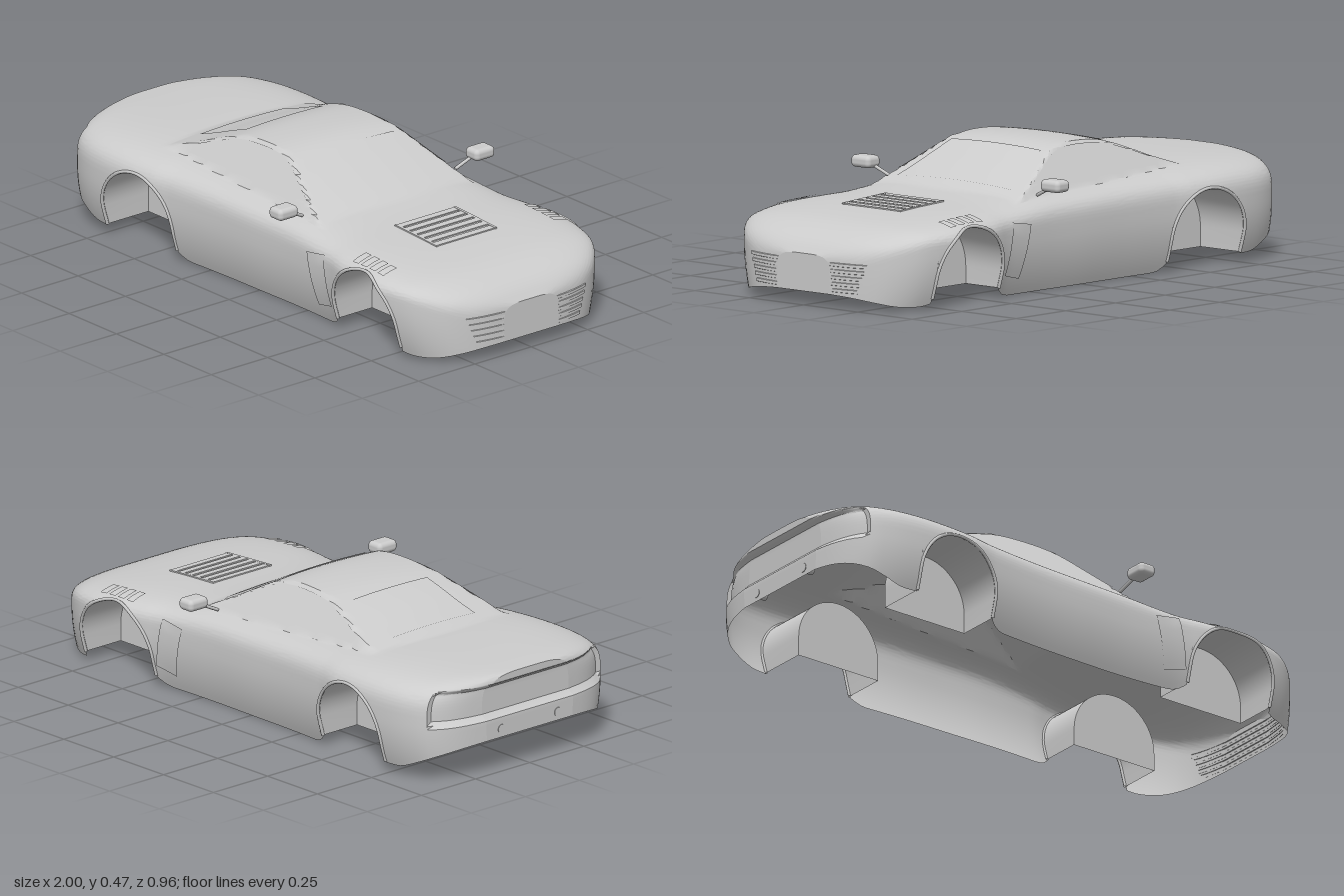
import * as THREE from 'three';
import { toCreasedNormals } from 'three/addons/utils/BufferGeometryUtils.js';
import { RoundedBoxGeometry } from 'three/addons/geometries/RoundedBoxGeometry.js';

// Smooth curve through sorted [x, value] keys
function keys(k) {
  const slope = i => {
    const a = k[Math.max(i - 1, 0)], b = k[Math.min(i + 1, k.length - 1)];
    return (b[1] - a[1]) / (b[0] - a[0]);
  };
  return x => {
    if (x <= k[0][0]) return k[0][1];
    if (x >= k[k.length - 1][0]) return k[k.length - 1][1];
    let i = 0;
    while (x > k[i + 1][0]) i++;
    const h = k[i + 1][0] - k[i][0], t = (x - k[i][0]) / h, t2 = t * t, t3 = t2 * t;
    return k[i][1] * (2 * t3 - 3 * t2 + 1) + slope(i) * h * (t3 - 2 * t2 + t)
      + k[i + 1][1] * (3 * t2 - 2 * t3) + slope(i + 1) * h * (t3 - t2);
  };
}

// Plan half-width, deck height, roof line and lower edge along the car
const halfWidth = keys([[-1, .2], [-.99, .265], [-.97, .33], [-.94, .38], [-.9, .415], [-.8, .445], [-.65, .454], [-.5, .445], [-.4, .427],
  [-.2, .411], [0, .405], [.2, .402], [.4, .412], [.5, .432], [.65, .45], [.75, .44], [.85, .405], [.93, .335], [.97, .265], [.99, .195], [1, .12]]);
const deck = keys([[-1, .345], [-.9, .352], [-.7, .356], [-.5, .352], [-.3, .345], [0, .335], [.2, .328], [.4, .308],
  [.6, .298], [.75, .285], [.85, .268], [.93, .238], [.97, .21], [1, .175]]);
const roof = keys([[-.65, .33], [-.55, .362], [-.45, .393], [-.35, .43], [-.25, .46], [-.15, .47], [-.05, .468],
  [.02, .452], [.1, .412], [.2, .362], [.28, .325], [.35, .29]]);
const skirt = keys([[-1, .12], [-.95, .095], [-.85, .05], [-.8, .032], [-.74, .03], [-.4, .03], [-.37, .008], [-.33, 0],
  [.38, 0], [.43, .015], [.46, .04], [.78, .02], [.82, .01], [.9, .012], [.96, .028], [1, .045]]);
const arches = [{ x: -.565, y: .105, r: .17 }, { x: .618, y: .095, r: .172 }];
const waist = x => Math.min(.2, deck(x) - .075);

function lowerEdge(x) {
  for (const a of arches) {
    const d = Math.abs(x - a.x);
    if (d <= a.r + 1e-6) return a.y + Math.sqrt(Math.max(0, a.r * a.r - d * d));
  }
  return skirt(x);
}
// Height of the upper surface, with the cabin rising out of the deck
function topY(x, z) {
  z = Math.abs(z);
  const s = Math.min(1, z / halfWidth(x)), w = waist(x);
  const y = w + (deck(x) - w) * Math.pow(1 - s ** 4, .25);
  if (x < -.65 || x > .35) return y;
  return Math.max(y, Math.min(roof(x) - .15 * z * z, .335 + (.315 - z) * 1.45));
}
// Half-width of the flank at a height
function sideZ(x, y) {
  const w = waist(x);
  if (y < w) return halfWidth(x) * (1 - .1 * ((w - y) / .2) ** 2);
  return halfWidth(x) * Math.pow(1 - Math.min(1, (y - w) / (deck(x) - w)) ** 4, .25);
}
// Nose outline: x for a given z
function noseX(z) {
  let a = .8, b = 1;
  for (let i = 0; i < 30; i++) {
    const m = (a + b) / 2;
    if (halfWidth(m) > Math.abs(z)) a = m; else b = m;
  }
  return a;
}

export function createModel() {
  const car = new THREE.Group();
  car.name = 'carBody';
  const paint = new THREE.MeshStandardMaterial({ color: 0xcccccc, side: THREE.DoubleSide });
  paint.name = 'lightGrey';

  function add(name, geo) {
    const m = new THREE.Mesh(geo, paint);
    m.name = name;
    car.add(m);
    return m;
  }
  // Grid surface from a rule on (u, v) in 0..1
  function surface(name, nu, nv, f) {
    const pos = [], idx = [], row = nv + 1;
    for (let i = 0; i <= nu; i++) for (let j = 0; j <= nv; j++) pos.push(...f(i / nu, j / nv));
    for (let i = 0; i < nu; i++) for (let j = 0; j < nv; j++) {
      const a = i * row + j;
      idx.push(a, a + 1, a + row, a + 1, a + row + 1, a + row);
    }
    const g = new THREE.BufferGeometry();
    g.setAttribute('position', new THREE.Float32BufferAttribute(pos, 3));
    g.setIndex(idx);
    return add(name, toCreasedNormals(g, .5));
  }
  const lerp = THREE.MathUtils.lerp;

  // Body stations: even steps, with extras at the ends and wheel arches
  const xs = [];
  for (let i = -47; i <= 47; i++) xs.push(i * .02);
  for (const e of [.955, .97, .98, .988, .994, .998, 1]) xs.push(e, -e);
  for (const a of arches) {
    for (let k = 0; k <= 28; k++) xs.push(a.x + a.r * Math.cos(k * Math.PI / 28));
    xs.push(a.x + a.r + .001, a.x - a.r - .001);
  }
  xs.sort((a, b) => a - b);
  const N = 44, L = 10, M = N + L;
  function section(x, k) {
    const w = waist(x), yb = lowerEdge(x);
    let y, z;
    if (k <= N) {
      z = halfWidth(x) * (1 - ((N - k) / N) ** 3);
      y = topY(x, z);
      if (y < yb) { y = yb; z = sideZ(x, y); }
    } else {
      y = yb < w ? lerp(w, yb, (k - N) / L) : yb;
      z = sideZ(x, y);
    }
    // Recessed tail panel under the lip
    const inset = x < -.94 ? .022 * THREE.MathUtils.smoothstep(y, .19, .21) * (1 - THREE.MathUtils.smoothstep(y, .3, .32)) : 0;
    return [x + inset, y, z];
  }
  surface('bodyShell', xs.length - 1, 2 * M, (u, v) => {
    const j = Math.round(v * 2 * M) - M;
    const p = section(xs[Math.round(u * (xs.length - 1))], Math.abs(j));
    return [p[0], p[1], j < 0 ? -p[2] : p[2]];
  });
  // Flat end faces
  for (const [name, x] of [['tailPanel', -1], ['nosePanel', 1]]) {
    surface(name, M, 4, (u, v) => {
      const p = section(x, Math.round(u * M));
      return [p[0], p[1], p[2] * (v * 2 - 1)];
    });
  }

  // Windows lie just above the shell
  surface('windscreen', 14, 14, (u, v) => {
    const x = lerp(.03, .24, u), z = lerp(.205, .265, u) * (v * 2 - 1);
    return [x, topY(x, z) + .003, z];
  });
  surface('rearWindow', 12, 14, (u, v) => {
    const x = lerp(-.52, -.3, u), z = lerp(.19, .17, u) * (v * 2 - 1);
    return [x, topY(x, z) + .003, z];
  });

  // Bonnet grille with cross slats
  const tilt = Math.atan2(topY(.66, 0) - topY(.44, 0), .22);
  const bar = (name, x, z, w, d) => {
    const m = add(name, new THREE.BoxGeometry(w, .008, d));
    m.position.set(x, topY(x, z), z);
    m.rotation.z = tilt;
  };
  for (let i = 0; i < 6; i++) bar('bonnetSlat', .455 + i * .038, 0, .026, .25);
  for (const s of [-1, 1]) bar('bonnetGrilleFrame', .55, s * .13, .22, .01);

  // Front grille slats wrapped round the nose
  for (let i = 0; i < 5; i++) {
    const y = .054 + i * .022, w = lerp(.23, .265, i / 4);
    surface('grilleSlat', 24, 3, (u, v) => {
      const z = w * (u * 2 - 1), out = [0, .005, .005, 0][Math.round(v * 3)];
      return [Math.min(1, noseX(z) + out - .002), y + [0, .002, .012, .014][Math.round(v * 3)], z];
    });
  }

  for (const s of [-1, 1]) {
    surface('sideWindow', 30, 4, (u, v) => {
      const x = lerp(-.44, .2, u);
      const zTop = Math.min(.305, .315 - (roof(x) - .335) / 1.45 + .014);
      const z = lerp(zTop, .305, v);
      return [x, topY(x, z) + .004, s * z];
    });
    // Wing-top louvres
    for (let i = 0; i < 4; i++) surface('wingLouvre', 2, 6, (u, v) => {
      const x = .545 + i * .044 + u * .03, z = lerp(.35, .41, v);
      return [x, topY(x, z) + .005, s * z];
    });
    // Slanted vent behind the front wheel
    surface('sideVent', 4, 8, (u, v) => {
      const x = lerp(lerp(.3, .395, u), lerp(.345, .43, u), v);
      const y = lerp(lerp(.24, .255, u), lerp(.055, .075, u), v);
      return [x, y, s * (sideZ(x, y) + .005)];
    });

    // Wheel wells: arched lining, inner wall and rolled lip
    for (const a of arches) {
      const edge = [[a.x - a.r, .035]];
      for (let k = 0; k <= 28; k++) {
        const t = Math.PI * (1 - k / 28);
        edge.push([a.x + a.r * Math.cos(t), a.y + a.r * Math.sin(t)]);
      }
      edge.push([a.x + a.r, .035]);
      surface('wheelWell', edge.length - 1, 1, (u, v) => {
        const [x, y] = edge[Math.round(u * (edge.length - 1))];
        return [x, y, s * lerp(.24, sideZ(x, y), v)];
      });
      const wall = new THREE.ShapeGeometry(new THREE.Shape(edge.map(p => new THREE.Vector2(...p))));
      add('wheelWellWall', wall).position.z = s * .24;
      const lip = new THREE.CatmullRomCurve3(edge.map(([x, y]) => new THREE.Vector3(x, y, s * sideZ(x, y))));
      add('archLip', new THREE.TubeGeometry(lip, 48, .006, 6));
    }

    // Door mirror on a thin stalk
    add('mirror', new RoundedBoxGeometry(.066, .042, .086, 4, .016)).position.set(.212, .365, s * .436);
    const stalk = new THREE.LineCurve3(new THREE.Vector3(.195, .322, s * .34), new THREE.Vector3(.205, .355, s * .41));
    add('mirrorStalk', new THREE.TubeGeometry(stalk, 1, .006, 8));

    // Tail pipes
    const pipe = add('tailPipe', new THREE.CylinderGeometry(.016, .016, .04, 16));
    pipe.rotation.z = Math.PI / 2;
    pipe.position.set(-.982, .15, s * .13);
  }
  return car;
}
